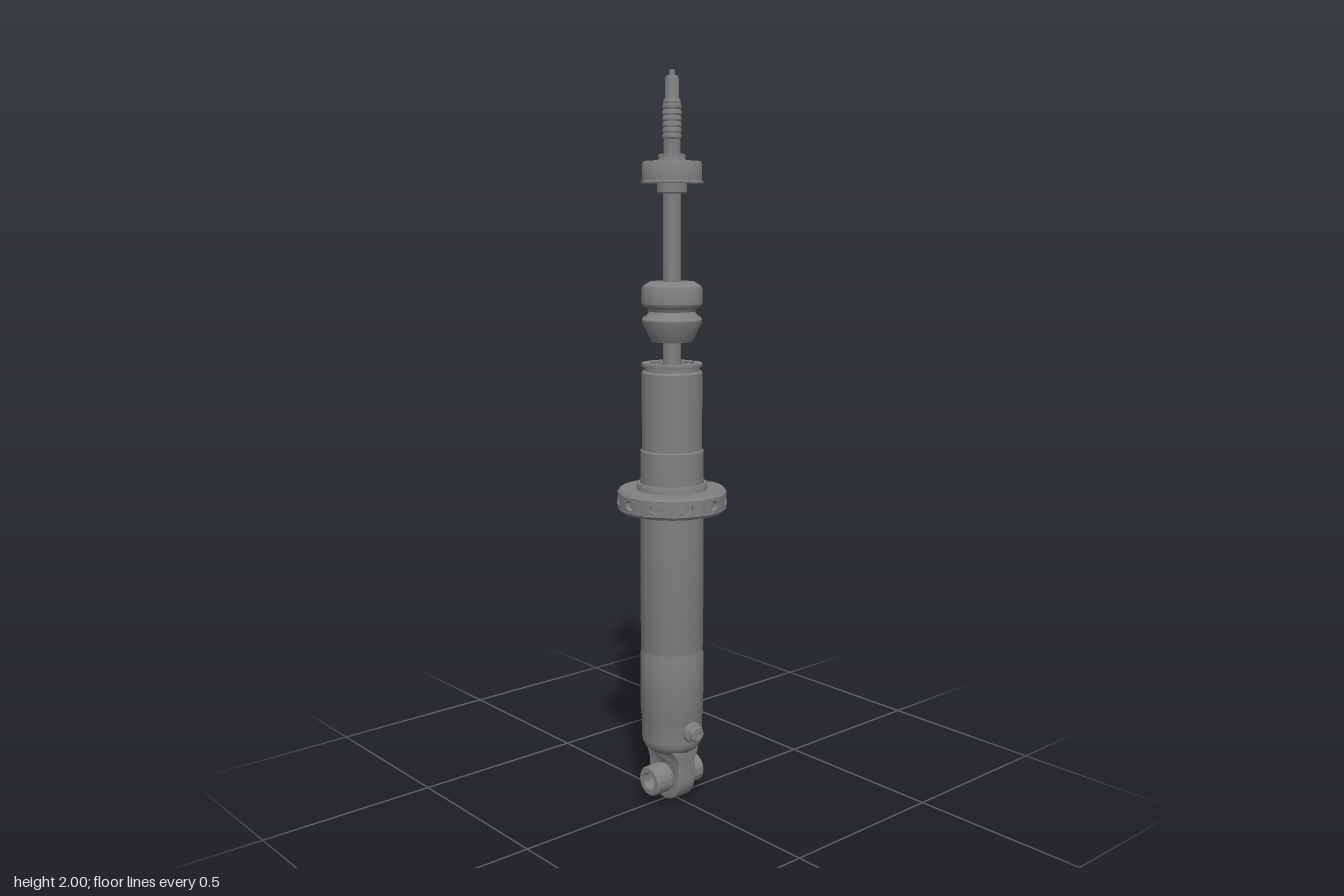
import * as THREE from 'three';
import { toCreasedNormals } from 'three/addons/utils/BufferGeometryUtils.js';

const metal = new THREE.MeshStandardMaterial({ color: 0x808080, side: THREE.DoubleSide });
metal.name = 'grey metal';

export function createModel() {
  const model = new THREE.Group();
  model.name = 'shockAbsorber';

  function add(name, geometry, parent = model) {
    const mesh = new THREE.Mesh(toCreasedNormals(geometry, 0.5), metal);
    mesh.name = name;
    parent.add(mesh);
    return mesh;
  }
  // Profile of [radius, height] pairs, bottom to top; gap is half the slit angle at the back
  function lathe(profile, gap = 0, segments = 64) {
    const points = profile.map(([r, y]) => new THREE.Vector2(r, y));
    return new THREE.LatheGeometry(points, segments, Math.PI + gap, 2 * Math.PI - 2 * gap);
  }

  // Main tube with stepped lower casing and rounded foot
  add('body', lathe([
    [0, 0.145], [0.058, 0.145], [0.066, 0.15], [0.077, 0.16], [0.083, 0.172], [0.085, 0.185],
    [0.085, 0.245], [0.088, 0.253], [0.088, 0.425], [0.086, 0.436], [0.086, 0.446],
    [0.087, 0.45], [0.087, 0.84], [0.086, 1.0], [0.082, 1.003], [0.082, 1.212], [0.078, 1.217],
    [0.074, 1.217], [0.074, 1.23], [0.066, 1.23], [0.058, 1.224], [0.03, 1.224], [0.03, 1.236], [0, 1.236],
  ]));
  add('snapRing', lathe([
    [0.06, 1.229], [0.082, 1.229], [0.083, 1.232], [0.082, 1.238], [0.06, 1.238], [0.06, 1.229],
  ], 0.06));

  // Piston rod with threaded and stepped tip
  const rod = [[0.024, 1.2], [0.024, 1.69], [0.022, 1.77], [0.022, 1.825]];
  for (let y = 1.825; y < 1.9; y += 0.015) {
    rod.push([0.0245, y + 0.003], [0.0245, y + 0.011], [0.0225, y + 0.015]);
  }
  rod.push([0.024, 1.918], [0.018, 1.93], [0.018, 1.978], [0.016, 1.985], [0.008, 1.986], [0.008, 1.997], [0.005, 2], [0, 2]);
  add('pistonRod', lathe(rod, 0, 32));

  // Rubber bump stop
  add('bumpStop', lathe([
    [0.024, 1.295], [0.054, 1.295], [0.058, 1.302], [0.08, 1.345], [0.081, 1.354], [0.077, 1.36],
    [0.066, 1.368], [0.062, 1.376], [0.066, 1.384], [0.077, 1.389], [0.081, 1.396],
    [0.081, 1.436], [0.077, 1.444], [0.06, 1.455], [0.024, 1.455],
  ]));

  // Dished upper mount
  add('upperMount', lathe([
    [0.024, 1.685], [0.038, 1.685], [0.04, 1.688], [0.04, 1.711], [0.083, 1.711], [0.083, 1.716],
    [0.079, 1.718], [0.079, 1.762], [0.076, 1.768], [0.07, 1.768], [0.058, 1.758],
    [0.042, 1.752], [0.04, 1.765], [0.036, 1.775], [0.036, 1.786], [0.022, 1.788],
  ]));

  // Split adjusting collar: core, rims and a drilled outer band
  const collar = new THREE.Group();
  collar.name = 'adjustingCollar';
  model.add(collar);
  const gap = 0.033, low = 0.843, high = 0.886, mid = (low + high) / 2;
  add('collarCore', lathe([
    [0.088, 0.835], [0.143, 0.835], [0.149, low], [0.137, low], [0.137, high], [0.149, high],
    [0.143, 0.894], [0.097, 0.894], [0.096, 0.908], [0.094, 0.912], [0.088, 0.912], [0.088, 0.835],
  ], gap, 88), collar);

  const holes = 11, span = (2 * Math.PI - 2 * gap) / holes, outer = 0.149, steps = 8;
  for (let i = 0; i < holes; i++) {
    const centre = (i - (holes - 1) / 2) * span;
    const half = outer * span / 2;
    const strip = new THREE.Shape();
    for (let k = 0; k <= steps; k++) {
      const x = -half + 2 * half * k / steps;
      if (k) strip.lineTo(x, low); else strip.moveTo(x, low);
    }
    for (let k = steps; k >= 0; k--) strip.lineTo(-half + 2 * half * k / steps, high);
    const hole = new THREE.Path();
    hole.absellipse(0, mid, 0.018, 0.014, 0, Math.PI * 2, true);
    strip.holes.push(hole);
    const band = new THREE.ExtrudeGeometry(strip, { depth: 0.013, bevelEnabled: false, curveSegments: 10 });
    // Bend the flat strip around the collar
    const p = band.attributes.position;
    for (let v = 0; v < p.count; v++) {
      const angle = centre + p.getX(v) / outer, r = outer - 0.013 + p.getZ(v);
      p.setXYZ(v, r * Math.sin(angle), p.getY(v), r * Math.cos(angle));
    }
    add('collarBand', band, collar);
  }
  // Slit walls and the clamp screw crossing the slit
  for (const side of [-1, 1]) {
    const wall = add('slitWall', new THREE.BoxGeometry(0.001, 0.055, 0.054), collar);
    wall.position.set(side * 0.0042, mid, -0.118);
  }
  const screw = add('clampScrew', new THREE.CylinderGeometry(0.021, 0.021, 0.014, 24), collar);
  screw.rotation.z = Math.PI / 2;
  screw.position.set(0, mid, -0.121);

  // Gas valve on the side of the foot
  const valve = add('gasValve', lathe([
    [0.029, 0.07], [0.029, 0.093], [0.027, 0.096], [0.022, 0.097], [0.022, 0.107],
    [0.019, 0.111], [0.011, 0.111], [0.011, 0.105], [0, 0.105],
  ], 0, 32));
  valve.rotation.z = -Math.PI / 2;
  valve.position.y = 0.215;

  // Lower eye, flaring into the foot
  const eyeY = 0.072, eyeR = 0.066;
  const outline = new THREE.Shape();
  outline.moveTo(-eyeR, 0.165);
  for (const y of [0.15, 0.14, 0.13, 0.12]) outline.lineTo(-eyeR, y);
  outline.absarc(0, eyeY, eyeR, Math.PI, 2 * Math.PI, false);
  for (const y of [0.12, 0.13, 0.14, 0.15, 0.165]) outline.lineTo(eyeR, y);
  const bore = new THREE.Path();
  bore.absarc(0, eyeY, 0.038, 0, Math.PI * 2, true);
  outline.holes.push(bore);
  const eye = new THREE.ExtrudeGeometry(outline, {
    depth: 0.046, bevelThickness: 0.007, bevelSize: 0.007, bevelOffset: -0.007, bevelSegments: 3, curveSegments: 32,
  });
  eye.translate(0, 0, -0.023);
  const q = eye.attributes.position;
  for (let v = 0; v < q.count; v++) {
    const t = Math.max(0, (q.getY(v) - 0.118) / 0.035);
    q.setZ(v, q.getZ(v) * (1 + 0.5 * Math.min(1, t * t)));
  }
  add('lowerEye', eye);

  // Hollow bushing through the eye
  const bushing = add('bushing', lathe([
    [0.024, -0.086], [0.038, -0.086], [0.042, -0.082], [0.042, -0.036], [0.037, -0.03],
    [0.037, 0.03], [0.042, 0.036], [0.042, 0.082], [0.038, 0.086], [0.024, 0.086], [0.024, -0.086],
  ], 0, 40));
  bushing.rotation.x = Math.PI / 2;
  bushing.position.y = eyeY;

  // Rest the eye on the ground
  model.children.forEach((part) => { if (part === bushing || part.name === 'lowerEye') part.position.y -= 0.006; });
  return model;
}
